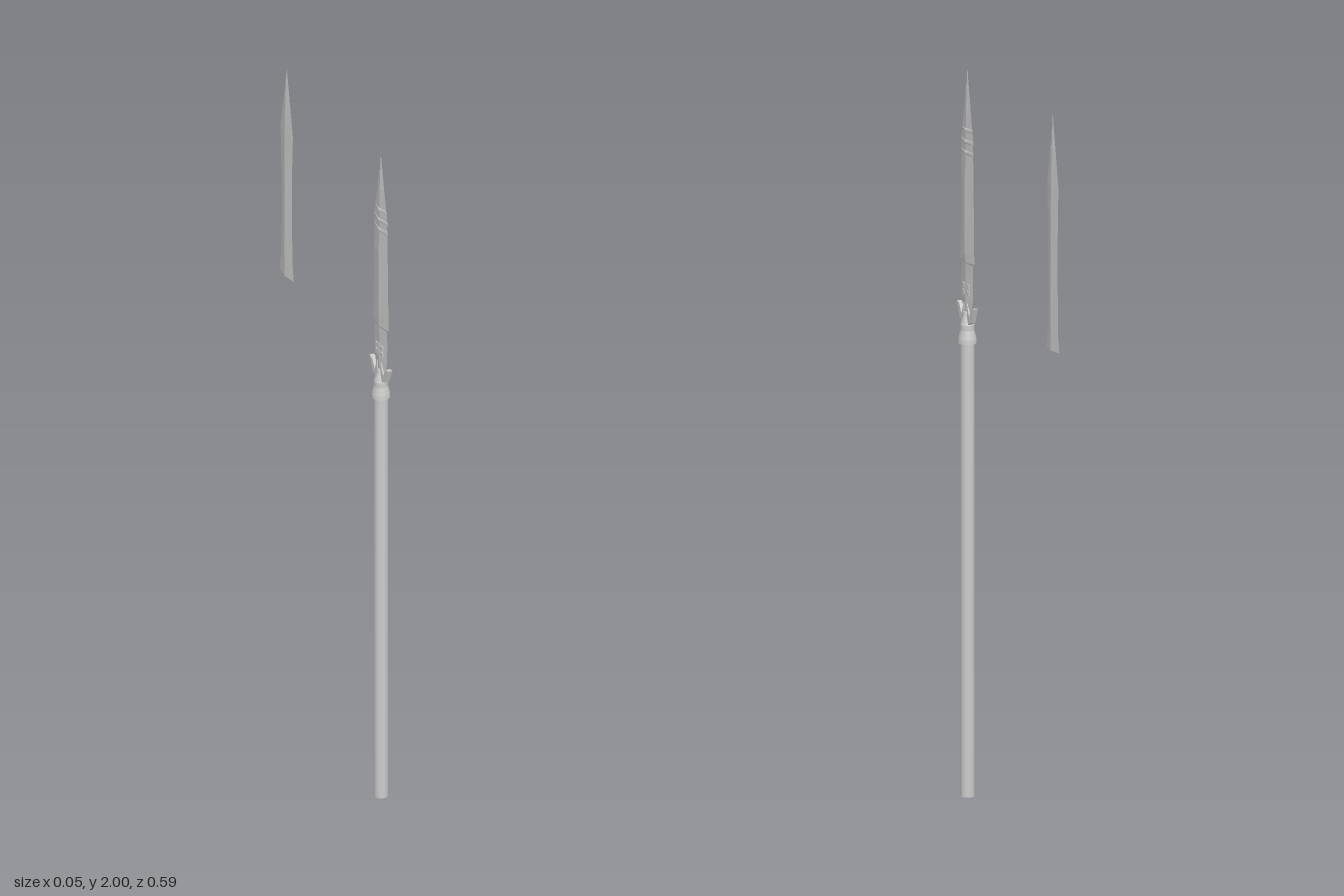
import * as THREE from 'three';

const grey = (extra = {}) => new THREE.MeshStandardMaterial({ color: 0xcccccc, ...extra });

function add(parent, name, geometry, material) {
  const mesh = new THREE.Mesh(geometry, material);
  mesh.name = name;
  parent.add(mesh);
  return mesh;
}

// Diamond-section blade from rows of [height, half width along z, half thickness along x]
function bladeGeometry(rows) {
  const pos = [];
  const index = [];
  rows.forEach(([y, w, t]) => pos.push(t, y, 0, 0, y, -w, -t, y, 0, 0, y, w));
  for (let r = 0; r < rows.length - 1; r++) {
    for (let i = 0; i < 4; i++) {
      const a = r * 4 + i, b = r * 4 + (i + 1) % 4;
      index.push(a, b, b + 4, a, b + 4, a + 4);
    }
  }
  index.push(0, 2, 1, 0, 3, 2);
  const indexed = new THREE.BufferGeometry();
  indexed.setAttribute('position', new THREE.Float32BufferAttribute(pos, 3));
  indexed.setIndex(index);
  const geometry = indexed.toNonIndexed();
  geometry.computeVertexNormals();
  return geometry;
}

export function createModel() {
  const model = new THREE.Group();
  const smooth = grey();
  const flat = grey({ flatShading: true });

  const spear = new THREE.Group();
  spear.name = 'spear';
  spear.position.z = 0.245;
  model.add(spear);

  // Shaft and flared socket
  add(spear, 'shaft', new THREE.CylinderGeometry(0.019, 0.019, 1.27, 24), smooth).position.y = 0.635;
  const socketProfile = [[0.019, 1.25], [0.025, 1.25], [0.024, 1.262], [0.019, 1.285], [0.019, 1.3], [0.008, 1.335], [0, 1.34]];
  add(spear, 'socket', new THREE.LatheGeometry(socketProfile.map(p => new THREE.Vector2(...p)), 24), flat);

  // Spearhead, with a step at the bottom of the wide part
  add(spear, 'spearBlade', bladeGeometry([
    [1.29, 0.014, 0.006], [1.345, 0.026, 0.006], [1.37, 0.033, 0.006], [1.43, 0.034, 0.005],
    [1.468, 0.032, 0.006], [1.474, 0.042, 0.007], [1.5, 0.04, 0.008], [1.7, 0.036, 0.008],
    [1.765, 0.034, 0.005], [1.82, 0.033, 0.005], [1.9, 0.018, 0.004], [2, 0.0005, 0.0005]
  ]), flat);

  // Binding rings round the upper blade
  [[1.775, 0.037], [1.805, 0.037], [1.837, 0.031]].forEach(([y, w]) => {
    add(spear, 'bindingRing', bladeGeometry([
      [y - 0.006, w - 0.002, 0.007], [y - 0.003, w, 0.009], [y + 0.003, w, 0.009], [y + 0.006, w - 0.002, 0.007]
    ]), flat);
  });

  // Barbed wings on both edges
  for (const side of [-1, 1]) {
    const wing = new THREE.Shape([
      [0.008, 1.295], [0.022, 1.307], [0.034, 1.312], [0.05, 1.354], [0.036, 1.352], [0.022, 1.325], [0.01, 1.36]
    ].map(([z, y]) => new THREE.Vector2(z * side, y)));
    const geometry = new THREE.ExtrudeGeometry(wing, { depth: 0.013, bevelEnabled: false });
    geometry.translate(0, 0, -0.0065).rotateY(-Math.PI / 2);
    add(spear, 'guardWing', geometry, flat);
  }

  // Paired studs across the blade root
  for (const z of [-0.012, 0.012]) {
    for (const y of [1.388, 1.407]) {
      add(spear, 'stud', new THREE.BoxGeometry(0.012, 0.013, 0.012), flat).position.set(0, y, z);
    }
  }

  // Separate plain blade
  add(model, 'looseBlade', bladeGeometry([
    [1.355, 0.038, 0.0065], [1.4, 0.031, 0.0065], [1.6, 0.027, 0.0065],
    [1.74, 0.03, 0.0065], [1.805, 0.033, 0.006], [1.9, 0.0175, 0.004], [2, 0.0005, 0.0005]
  ]), flat).position.z = -0.256;

  return model;
}
